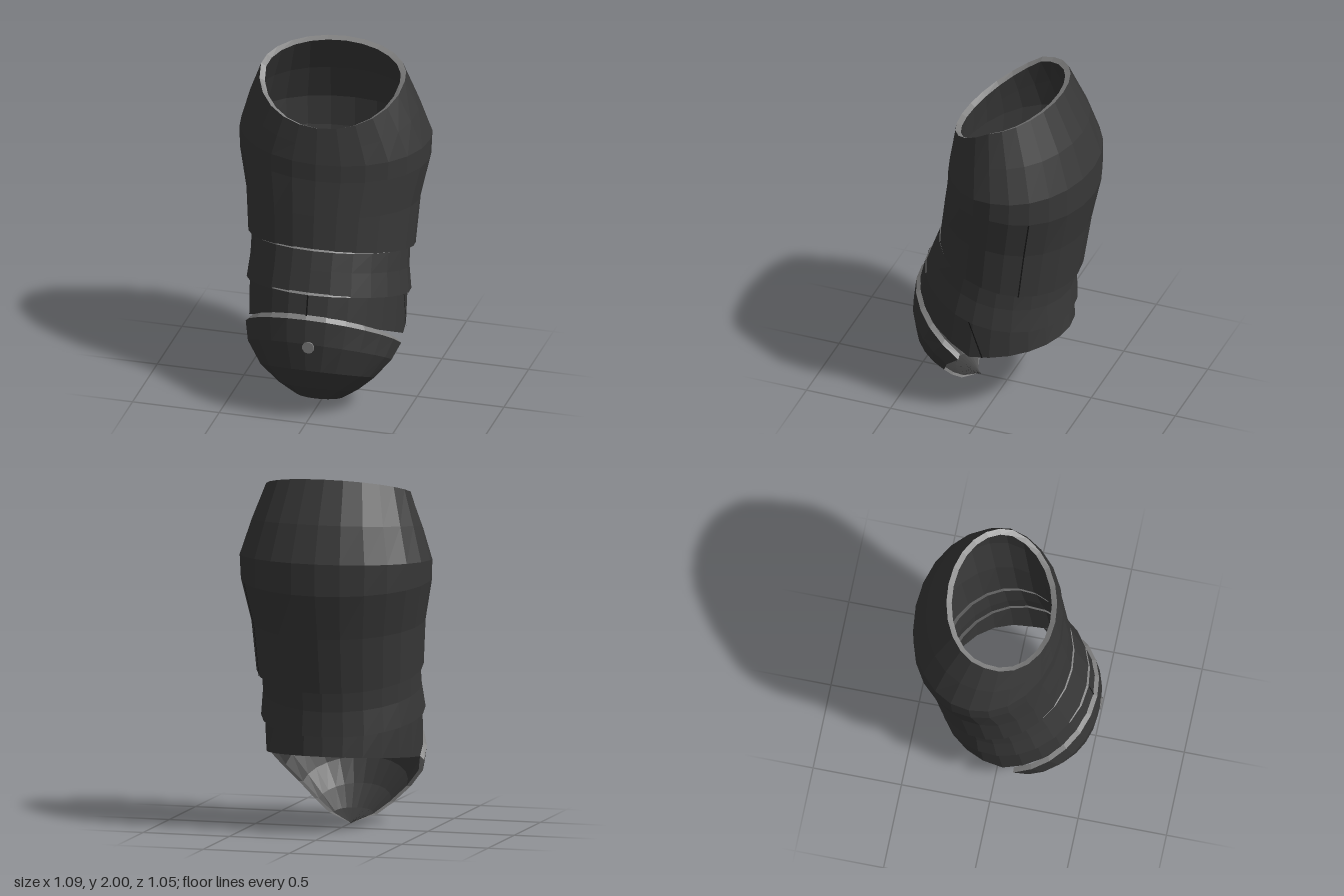
import * as THREE from 'three';

const mat = (name, color, side = THREE.FrontSide) => {
  const m = new THREE.MeshStandardMaterial({ color, side });
  m.name = name;
  return m;
};

// Point on a ring [yFront, zFront, yMid, zMid, yBack, zBack, halfWidth]; t = 0 at the front, growing towards +x
function ringPoint(r, t) {
  const c = Math.cos(t), k = Math.abs(c), [ye, ze] = c > 0 ? [r[0], r[1]] : [r[4], r[5]];
  return [r[6] * Math.sin(t), r[2] + (ye - r[2]) * k, r[3] + (ze - r[3]) * k];
}

// Faceted surface through rows of points, front side facing out when rows run upwards
function grid(rows) {
  const pos = [];
  for (let i = 0; i < rows.length - 1; i++) {
    for (let j = 0; j < rows[i].length - 1; j++) {
      const a = rows[i][j], b = rows[i][j + 1], c = rows[i + 1][j + 1], d = rows[i + 1][j];
      pos.push(...a, ...b, ...c, ...a, ...c, ...d);
    }
  }
  const g = new THREE.BufferGeometry();
  g.setAttribute('position', new THREE.Float32BufferAttribute(pos, 3));
  g.computeVertexNormals();
  return g;
}

export function createModel() {
  const dark = mat('charcoal plate', 0x383838);
  const edge = mat('grey edge', 0x808080, THREE.DoubleSide);
  const line = mat('black seam', 0x161616, THREE.DoubleSide);
  const model = new THREE.Group();
  model.name = 'armourSleeve';

  const add = (parent, name, geometry, material) => {
    const m = new THREE.Mesh(geometry, material);
    m.name = name;
    parent.add(m);
  };

  // Thick shell: outer wall, inner wall and grey edges; lift raises the inner edge of the top rim
  function shell(name, rows, th, lift, t0 = 0, t1 = Math.PI * 2, n = 24) {
    const g = new THREE.Group();
    g.name = name;
    const sweep = (r) => Array.from({ length: n + 1 }, (_, j) => ringPoint(r, t0 + (t1 - t0) * j / n));
    const last = rows.length - 1;
    const outer = rows.map(sweep);
    const inner = rows.map((r, i) => {
      const up = i === last ? lift : 0;
      return sweep([r[0] + up, r[1] - th, r[2] + up, r[3], r[4] + up, r[5] + th, Math.max(r[6] - th, 0)]);
    });
    add(g, name + 'Outside', grid(outer), dark);
    add(g, name + 'Inside', grid([...inner].reverse()), dark);
    add(g, name + 'TopEdge', grid([outer[last], inner[last]]), edge);
    add(g, name + 'BottomEdge', grid([inner[0], outer[0]]), edge);
    if (t1 - t0 < 6) {
      for (const j of [0, n]) add(g, name + 'SideEdge', grid([outer.map((r) => r[j]), inner.map((r) => r[j])]), edge);
    }
    model.add(g);
  }

  // Thin seam lying just above a shell wall
  function seam(name, rows, angles) {
    const strip = rows.map((r, i) => [-0.009, 0.009].map((d) => {
      const [x, y, z] = ringPoint(r, angles[i] + d);
      return [x * 1.008, y, z * 1.008];
    }));
    add(model, name, grid(strip), line);
  }

  // Long upper sleeve with a slanted opening
  const upper = [
    [1.0, 0.36, 0.91, -0.03, 0.81, -0.42, 0.47],
    [1.2, 0.335, 1.18, -0.06, 1.12, -0.468, 0.49],
    [1.4, 0.305, 1.42, -0.1, 1.37, -0.52, 0.54],
    [1.5, 0.3, 1.54, -0.11, 1.55, -0.52, 0.545],
    [1.6, 0.285, 1.73, -0.08, 1.76, -0.45, 0.485],
    [1.71, 0.27, 1.91, -0.05, 2.0, -0.335, 0.415],
  ];
  shell('upperSleeve', upper, 0.03, -0.015);
  seam('sleeveSeam', upper.slice(0, 3), [2.09, 2.09, 2.09]);

  // Two overlapping bands
  const band = [
    [0.77, 0.45, 0.65, 0.03, 0.56, -0.385, 0.46],
    [0.9, 0.405, 0.79, 0.01, 0.7, -0.375, 0.445],
    [1.0, 0.368, 0.91, -0.01, 0.86, -0.385, 0.445],
  ];
  shell('middleBand', band, 0.022, 0.02);

  const lower = [
    [0.63, 0.492, 0.41, 0.06, 0.45, -0.375, 0.435],
    [0.77, 0.458, 0.67, 0.03, 0.59, -0.36, 0.44],
  ];
  shell('lowerBand', lower, 0.022, 0.02);
  seam('frontSeam', lower, [0, 0]);
  seam('sideSeam', lower, [1.75, 1.48]);

  // Rounded cap, open at the back
  const cap = [
    [0.005, 0.18, 0.0, 0.175],
    [0.07, 0.32, 0.05, 0.215, 0.14],
    [0.19, 0.44, 0.12, 0.24, 0.23],
    [0.33, 0.51, 0.21, 0.25, 0.325],
    [0.5, 0.525, 0.31, 0.2, 0.41],
    [0.64, 0.508, 0.38, 0.12, 0.442],
  ].map(([yf, zf, ym, zm, w = 0]) => [yf, zf, ym, zm, ym, zm, w]);
  shell('roundCap', cap, 0.025, 0.022, -Math.PI / 2, Math.PI / 2, 12);

  // Small round stud on the cap
  const stud = new THREE.CylinderGeometry(0.035, 0.035, 0.016, 10).rotateX(Math.PI / 2).translate(0.02, 0.48, 0.52);
  add(model, 'capStud', stud, edge);

  return model;
}
